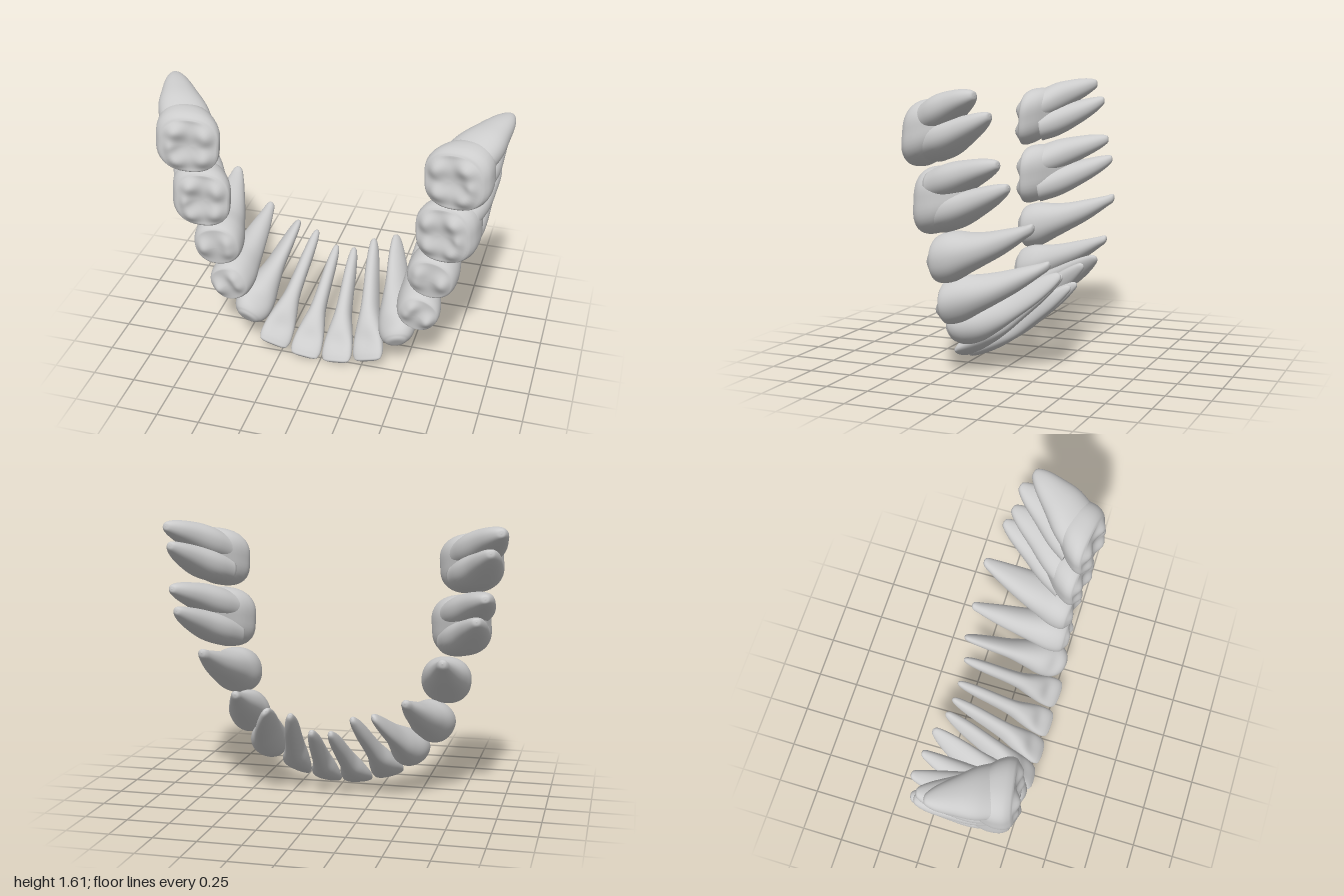
import * as THREE from 'three';

const V = (p) => new THREE.Vector3(...p);
const material = new THREE.MeshStandardMaterial({ color: 0xcccccc });
const SEG = 48, RINGS = 44, CAP = 16;

// Profiles run from the root tip (t = 1) to the crown rim (t = 0): [t, half width u, half depth v]
const incisorProfile = [[1, 0, 0], [.985, .013, .016], [.93, .024, .03], [.78, .034, .05], [.55, .041, .062],
  [.4, .05, .068], [.27, .071, .064], [.14, .088, .05], [.04, .09, .031], [0, .08, .02]];
const canineProfile = [[1, 0, 0], [.985, .014, .022], [.93, .025, .042], [.78, .038, .07], [.55, .055, .092],
  [.38, .08, .106], [.2, .108, .11], [.08, .104, .092], [.02, .084, .07], [0, .068, .056]];
const premolarProfile = [[1, 0, 0], [.985, .018, .02], [.9, .036, .032], [.7, .064, .057], [.5, .088, .076],
  [.34, .104, .095], [.17, .12, .12], [.06, .118, .119], [.015, .109, .11], [0, .1, .101]];
const molarProfile = [[1, 0, 0], [.98, .2, .25], [.85, .45, .5], [.6, .72, .77], [.35, .94, .96], [.15, 1, 1],
  [.04, .94, .95], [0, .86, .87]];
const rootProfile = [[1, 0, 0], [.975, .17, .24], [.82, .4, .5], [.55, .63, .75], [.25, .86, .95], [0, .92, .95]];

// Lofts rings from tip to crown, then closes the crown with a cusped cap
function loft(o, side) {
  const crown = V(o.crown), tip = V(o.tip);
  const n = (o.normal ? V(o.normal) : crown.clone().sub(tip)).normalize();
  const u = V(o.across);
  u.addScaledVector(n, -u.dot(n)).normalize();
  const v = n.clone().cross(u);
  const [su, sv] = o.scale;
  const power = o.power ?? 2;
  const curve = new THREE.CatmullRomCurve3(o.profile.map(V));
  const bow = V(o.bow ?? [0, 0, 0]);
  const pos = [], idx = [];

  const ring = (center, a, b, k, t, height) => {
    for (let j = 0; j < SEG; j++) {
      const ang = (j / SEG) * Math.PI * 2, c = Math.cos(ang), s = Math.sin(ang);
      // squarish outline, with a shallow furrow on the cheek and tongue sides
      const f = (1 - (o.furrow ?? 0) * c ** 12) / Math.pow(Math.abs(c) ** power + Math.abs(s) ** power, 1 / power);
      // scooped inner face of the front teeth
      const dent = s > 0 ? 1 - (o.hollow ?? 0) * s * s * Math.exp(-(((t - .13) / .08) ** 2)) : 1;
      const p = center.clone().addScaledVector(u, a * k * c * f).addScaledVector(v, b * k * s * f * dent)
        .addScaledVector(n, height(k * c, k * s));
      pos.push(p.x * side, p.y, p.z);
    }
  };

  for (let i = 0; i <= RINGS; i++) {
    const q = curve.getPoint(i / RINGS), t = q.x;
    const center = crown.clone().lerp(tip, t).addScaledVector(bow, 4 * t * (1 - t));
    ring(center, Math.max(q.y, 0) * su, Math.max(q.z, 0) * sv, 1, t, () => 0);
  }
  const rim = o.profile[o.profile.length - 1];
  const height = (p, q) => {
    let h = o.dome ?? 0;
    for (const [x, y, amp, r] of o.cusps ?? []) h += amp * Math.exp(-((p - x) ** 2 + (q - y) ** 2) / (r * r));
    return h * (1 - Math.hypot(p, q) ** 5);
  };
  for (let i = 1; i <= CAP; i++) ring(crown, rim[1] * su, rim[2] * sv, 1 - i / CAP, 0, height);

  for (let i = 0; i < RINGS + CAP; i++) {
    for (let j = 0; j < SEG; j++) {
      const a = i * SEG + j, b = i * SEG + (j + 1) % SEG, c = a + SEG, d = b + SEG;
      if (side > 0) idx.push(a, b, d, a, d, c);
      else idx.push(a, d, b, a, c, d);
    }
  }
  const g = new THREE.BufferGeometry();
  g.setAttribute('position', new THREE.Float32BufferAttribute(pos, 3));
  g.setIndex(idx);
  g.computeVertexNormals();
  const mesh = new THREE.Mesh(g, material);
  mesh.name = o.name;
  return mesh;
}

// Cusps: [u, v, height, radius]
const molarCusps = [[.5, .56, .054, .38], [.72, -.08, .038, .3], [.42, -.64, .05, .36], [-.58, .48, .05, .4],
  [-.56, -.48, .05, .4]];
const premolarCusps = [[.66, 0, .038, .48], [-.62, .32, .026, .42], [-.62, -.32, .026, .42]];
const molar = (crown, tip, scale, normal) => ({
  name: 'crown', profile: molarProfile, crown, tip, scale, normal, power: 2.4, furrow: .05,
  across: [1, .06, 0], cusps: molarCusps, dome: -.01,
});
const root = (name, crown, tip, scale, bow) => ({
  name, profile: rootProfile, crown, tip, scale, bow, normal: [-.25, -.15, 1], across: [1, .15, 0], power: 2.2,
});

// Teeth of one side, from the middle of the arch to the back
const teeth = [
  ['centralIncisor', [{
    profile: incisorProfile, crown: [.098, .02, .276], tip: [.055, .452, -.308],
    across: [.98, .14, 0], scale: [1, 1], power: 2.3, hollow: .35, dome: .012,
  }]],
  ['lateralIncisor', [{
    profile: incisorProfile, crown: [.292, .07, .274], tip: [.18, .542, -.305],
    across: [.93, .36, 0], scale: [1.04, 1.08], power: 2.3, hollow: .35, dome: .012,
  }]],
  ['canine', [{
    profile: canineProfile, crown: [.456, .222, .252], tip: [.31, .568, -.343], bow: [.01, -.018, 0],
    across: [.76, .65, 0], scale: [1.04, 1], hollow: .15, dome: .014,
  }]],
  ['firstPremolar', [{
    profile: premolarProfile, crown: [.576, .42, .238], tip: [.49, .656, -.35], bow: [0, -.022, 0],
    normal: [.03, -.06, 1], across: [.85, -.5, 0], scale: [1.04, 1.04], power: 2.2, cusps: premolarCusps,
  }]],
  ['secondPremolar', [{
    profile: premolarProfile, crown: [.635, .676, .243], tip: [.692, .884, -.333], bow: [0, -.026, 0],
    normal: [-.08, -.04, 1], across: [1, -.1, 0], scale: [1.21, 1.14], power: 2.2, cusps: premolarCusps,
  }]],
  ['firstMolar', [
    molar([.695, .998, .272], [.82, 1.06, -.03], [.178, .182], [-.15, .02, 1]),
    root('upperRoot', [.735, 1.085, .18], [.905, 1.23, -.222], [.165, .1], [.01, .005, 0]),
    root('lowerRoot', [.725, .93, .18], [.865, 1.11, -.262], [.16, .1], [.01, -.01, 0]),
  ]],
  ['secondMolar', [
    molar([.745, 1.356, .298], [.865, 1.435, .03], [.19, .175], [-.17, .06, 1]),
    root('upperRoot', [.79, 1.44, .19], [.972, 1.58, -.122], [.165, .1], [.005, .01, 0]),
    root('lowerRoot', [.78, 1.315, .19], [.925, 1.476, -.186], [.165, .1], [.01, -.01, 0]),
  ]],
];

export function createModel() {
  const model = new THREE.Group();
  model.name = 'dentalArch';
  for (const [label, side] of [['left', 1], ['right', -1]]) {
    for (const [name, parts] of teeth) {
      const tooth = new THREE.Group();
      tooth.name = label + name[0].toUpperCase() + name.slice(1);
      for (const part of parts) tooth.add(loft({ name: 'tooth', ...part }, side));
      model.add(tooth);
    }
  }
  return model;
}
